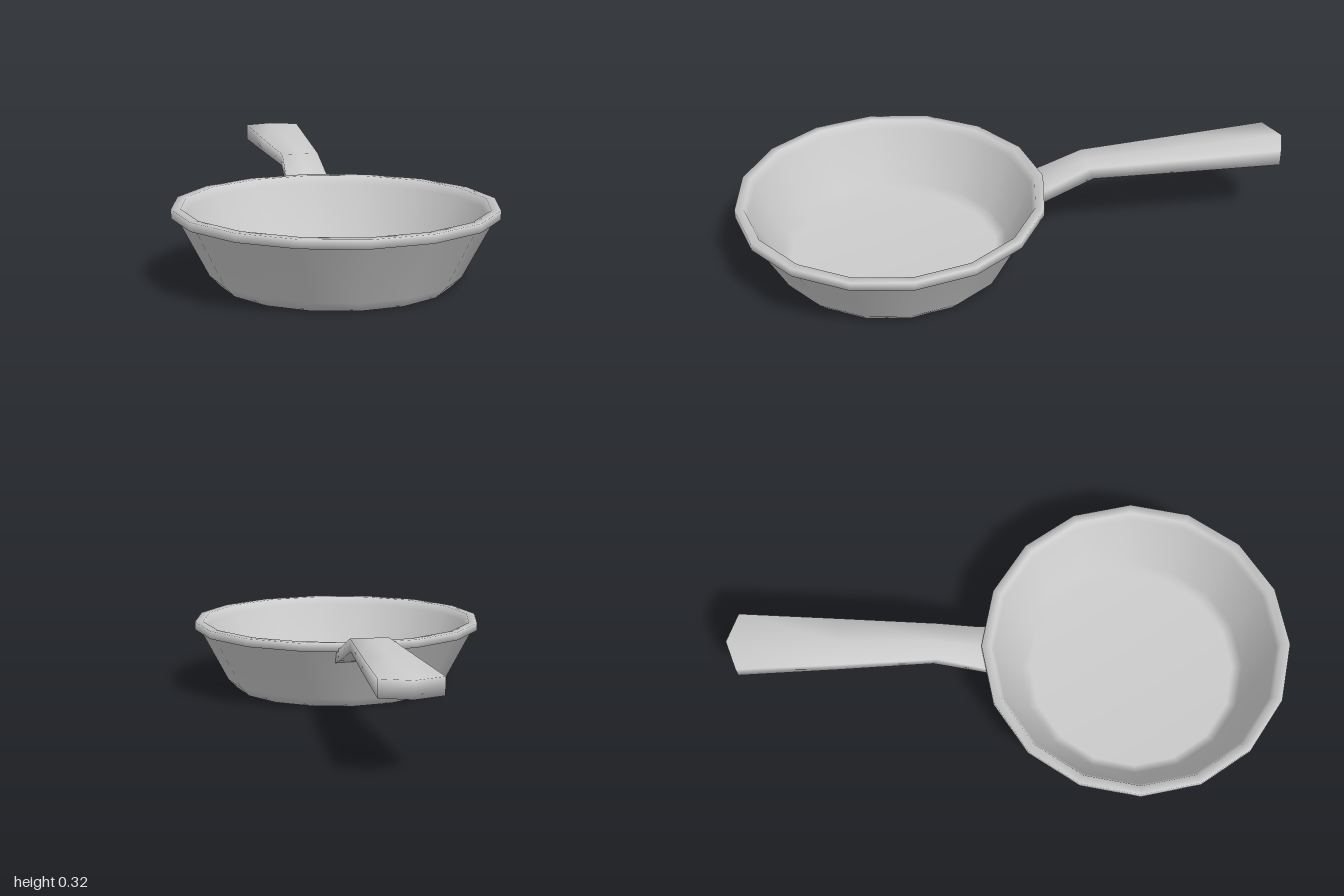
import * as THREE from 'three';

const CENTRE_Z = 0.45;
const material = new THREE.MeshStandardMaterial({ color: 0xcccccc });

// Bowl of the pan: one closed 16-sided profile, underside to lip to inner floor
function makeBowl() {
  const profile = [
    [0, 0], [0.39, 0], [0.425, 0.035], [0.53, 0.235],
    [0.55, 0.235], [0.55, 0.265], [0.518, 0.265],
    [0.505, 0.235], [0.41, 0.045], [0.375, 0.02], [0, 0.02],
  ].map(([r, y]) => new THREE.Vector2(r, y));
  const bowl = new THREE.Mesh(new THREE.LatheGeometry(profile, 16), material);
  bowl.name = 'bowl';
  bowl.position.z = CENTRE_Z;
  return bowl;
}

// Bent handle: six-point cross-sections joined along its length
function makeHandle() {
  // top z, top y, bottom z, bottom y, half width, how far the centre leads
  const sections = [
    [-0.055, 0.235, -0.035, 0.185, 0.085, 0],
    [-0.11, 0.255, -0.1, 0.205, 0.077, 0],
    [-0.255, 0.314, -0.27, 0.27, 0.068, 0],
    [-0.6, 0.317, -0.6, 0.266, 0.087, 0],
    [-0.96, 0.322, -0.96, 0.262, 0.105, 0.04],
  ];
  const points = [];
  for (const [zt, yt, zb, yb, w, lead] of sections) {
    points.push(
      -w, yt, zt, 0, yt, zt - lead, w, yt, zt,
      w, yb, zb, 0, yb, zb - lead, -w, yb, zb,
    );
  }
  const index = [];
  const n = 6;
  for (let s = 0; s < sections.length - 1; s++) {
    for (let i = 0; i < n; i++) {
      const a = s * n + i, b = s * n + ((i + 1) % n);
      index.push(a, b, b + n, a, b + n, a + n);
    }
  }
  // Close both ends with two quads each
  const e = (sections.length - 1) * n;
  index.push(0, 5, 4, 0, 4, 1, 1, 4, 3, 1, 3, 2);
  index.push(e, e + 4, e + 5, e, e + 1, e + 4, e + 1, e + 3, e + 4, e + 1, e + 2, e + 3);

  const geometry = new THREE.BufferGeometry();
  geometry.setAttribute('position', new THREE.Float32BufferAttribute(points, 3));
  geometry.setIndex(index);
  geometry.computeVertexNormals();
  const handle = new THREE.Mesh(geometry, material);
  handle.name = 'handle';
  return handle;
}

export function createModel() {
  const pan = new THREE.Group();
  pan.name = 'fryingPan';
  pan.add(makeBowl(), makeHandle());
  return pan;
}
